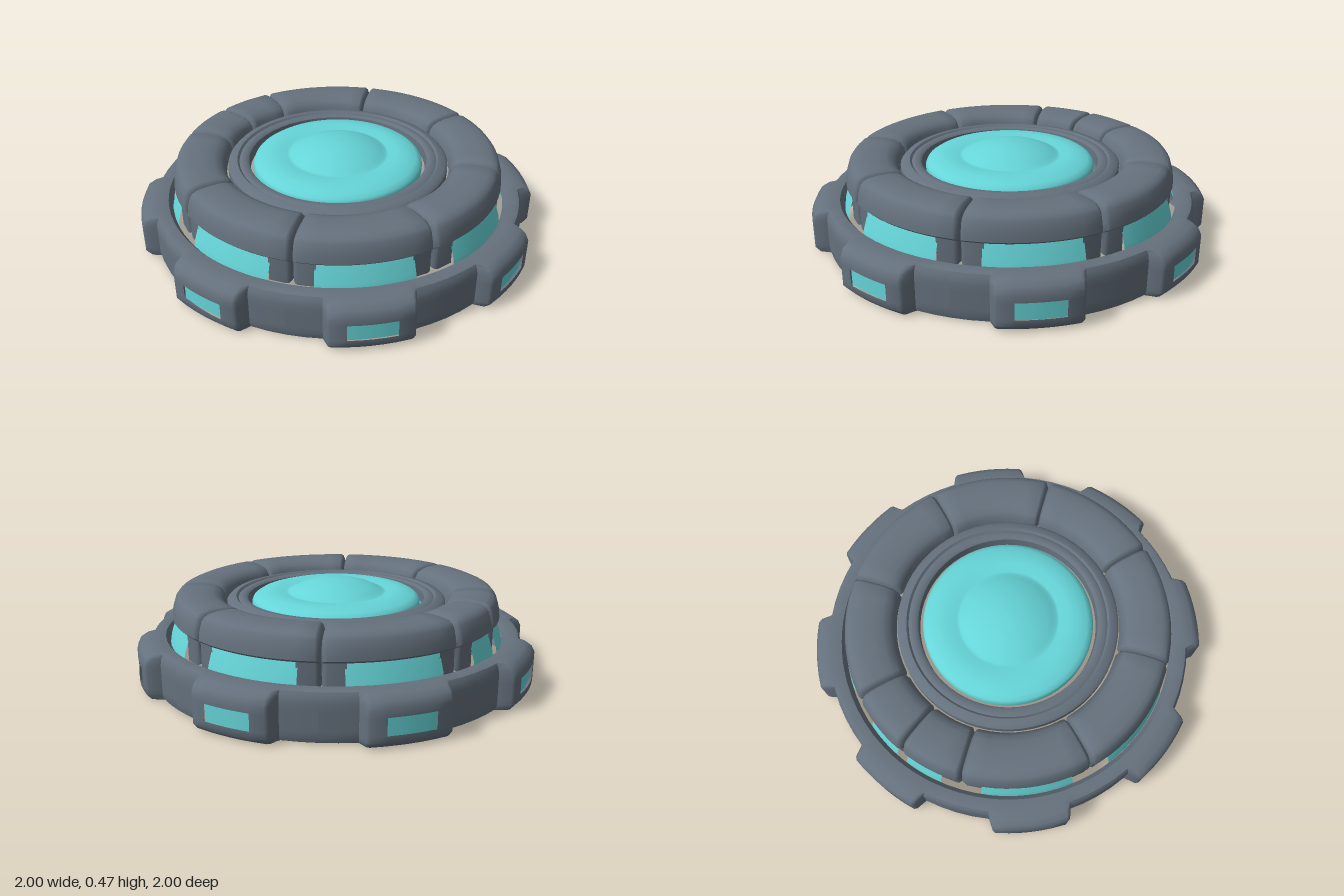
import * as THREE from 'three';
import { toCreasedNormals } from 'three/addons/utils/BufferGeometryUtils.js';

const DEG = Math.PI / 180;

// Sweeps a profile over columns of [angle, amount]; shape(point, amount) bends each column.
// Cells inside the hole (row range, angle range) are left open.
function sweep(profile, columns, shape, hole) {
  const pos = [], index = [], rows = profile.length;
  for (const [angle, amount] of columns) {
    for (const p of profile) {
      const [r, y] = shape(p, amount);
      pos.push(r * Math.sin(angle * DEG), y, r * Math.cos(angle * DEG));
    }
  }
  for (let c = 0; c < columns.length - 1; c++) {
    const mid = (columns[c][0] + columns[c + 1][0]) / 2;
    for (let i = 0; i < rows - 1; i++) {
      const inHole = i >= hole.row0 && i < hole.row1 && mid > hole.a0 && mid < hole.a1;
      if (inHole) continue;
      const a = c * rows + i, b = a + rows;
      index.push(a, b, b + 1, a, b + 1, a + 1);
    }
  }
  const g = new THREE.BufferGeometry();
  g.setAttribute('position', new THREE.Float32BufferAttribute(pos, 3));
  g.setIndex(index);
  return toCreasedNormals(g, 0.7);
}

function lathe(points, segments, a0 = 0, a1 = 360) {
  const pts = points.map(([r, y]) => new THREE.Vector2(r, y));
  return new THREE.LatheGeometry(pts, segments, a0 * DEG, (a1 - a0) * DEG);
}

export function createModel() {
  const model = new THREE.Group();
  const grey = new THREE.MeshStandardMaterial({ name: 'slate grey', color: 0x65717d, side: THREE.DoubleSide });
  const teal = new THREE.MeshStandardMaterial({ name: 'glowing teal', color: 0x66d5d8, side: THREE.DoubleSide });

  function add(name, geometry, material, turn = 0) {
    const mesh = new THREE.Mesh(geometry, material);
    mesh.name = name;
    mesh.rotation.y = turn * DEG;
    model.add(mesh);
  }

  // Lower ring: one octant with a raised lug and a window, repeated eight times
  const ringProfile = [
    [0.95, 0], [0.98, 0.006], [1, 0.03], [1, 0.06], [1, 0.14], [1, 0.175],
    [0.985, 0.205], [0.955, 0.224], [0.9, 0.23], [0.86, 0.226], [0.84, 0.2],
  ];
  const ringHalf = [[3, 1], [6.3, 1], [10.2, 1], [11, 0.85], [12.4, 0], [17.5, 0], [22.5, 0]];
  const ringColumns = [
    ...ringHalf.map(([a, k]) => [-a, k]).reverse(), [0, 1], ...ringHalf,
  ];
  const lugShape = ([r, y], k) => [r > 0.9 ? 0.9 + (r - 0.9) * (0.35 + 0.65 * k) : r, y];
  const ringOctant = sweep(ringProfile, ringColumns, lugShape, { row0: 3, row1: 4, a0: -6.3, a1: 6.3 });
  const lugWindow = lathe([[0.985, 0.052], [0.985, 0.148]], 6, -7, 7);
  for (let i = 0; i < 8; i++) {
    add('lowerRingSection', ringOctant, grey, i * 45);
    add('lugWindow', lugWindow, teal, i * 45);
  }

  // Upper tier: rounded hollow segments whose ends sink into narrow seams
  const tierProfile = [
    [0.812, 0.19], [0.812, 0.225], [0.812, 0.308], [0.822, 0.318], [0.817, 0.36], [0.803, 0.405],
    [0.79, 0.422], [0.765, 0.433], [0.72, 0.437], [0.66, 0.435], [0.62, 0.428],
    [0.59, 0.415], [0.57, 0.39], [0.56, 0.34],
  ];
  const sink = ([r, y], t) => [r + (0.69 - r) * t, y + (0.25 - y) * t];
  function tierSegment(a0, a1, w0, w1, turn) {
    const ends = [[0, 0.22], [0.35, 0.12], [0.9, 0.04], [1.8, 0]];
    const columns = ends.map(([a, t]) => [a0 + a, t]);
    for (let k = 0; k <= 8; k++) columns.push([w0 + (w1 - w0) * k / 8, 0]);
    columns.push(...ends.map(([a, t]) => [a1 - a, t]).reverse());
    add('upperSegment', sweep(tierProfile, columns, sink, { row0: 0, row1: 2, a0: w0, a1: w1 }), grey, turn);
    add('upperWindow', lathe([[0.838, 0.19], [0.832, 0.225], [0.8, 0.318]], 8, w0 - 0.5, w1 + 0.5), teal, turn);
  }
  for (let i = 0; i < 8; i++) {
    if (i !== 4) tierSegment(-22.5, 22.5, -15, 15, i * 45);
  }
  // The back segment is split in two
  tierSegment(-22.5, 0, -15, -2.6, 180);
  tierSegment(0, 22.5, 2.6, 15, 180);

  // Grooved collar around the centre
  add('innerCollar', toCreasedNormals(lathe([
    [0.552, 0.33], [0.552, 0.375], [0.538, 0.39], [0.505, 0.396], [0.495, 0.386],
    [0.485, 0.392], [0.46, 0.394], [0.447, 0.385], [0.442, 0.335],
  ], 64), 0.7), grey);

  // Domed centre disc with a raised button
  add('centreDome', lathe([
    [0.425, 0.335], [0.426, 0.365], [0.418, 0.383], [0.395, 0.398], [0.35, 0.411], [0.3, 0.415],
    [0.255, 0.406], [0.24, 0.408], [0.22, 0.42], [0.18, 0.438], [0.12, 0.457], [0.06, 0.467], [0, 0.47],
  ], 64), teal);

  return model;
}
